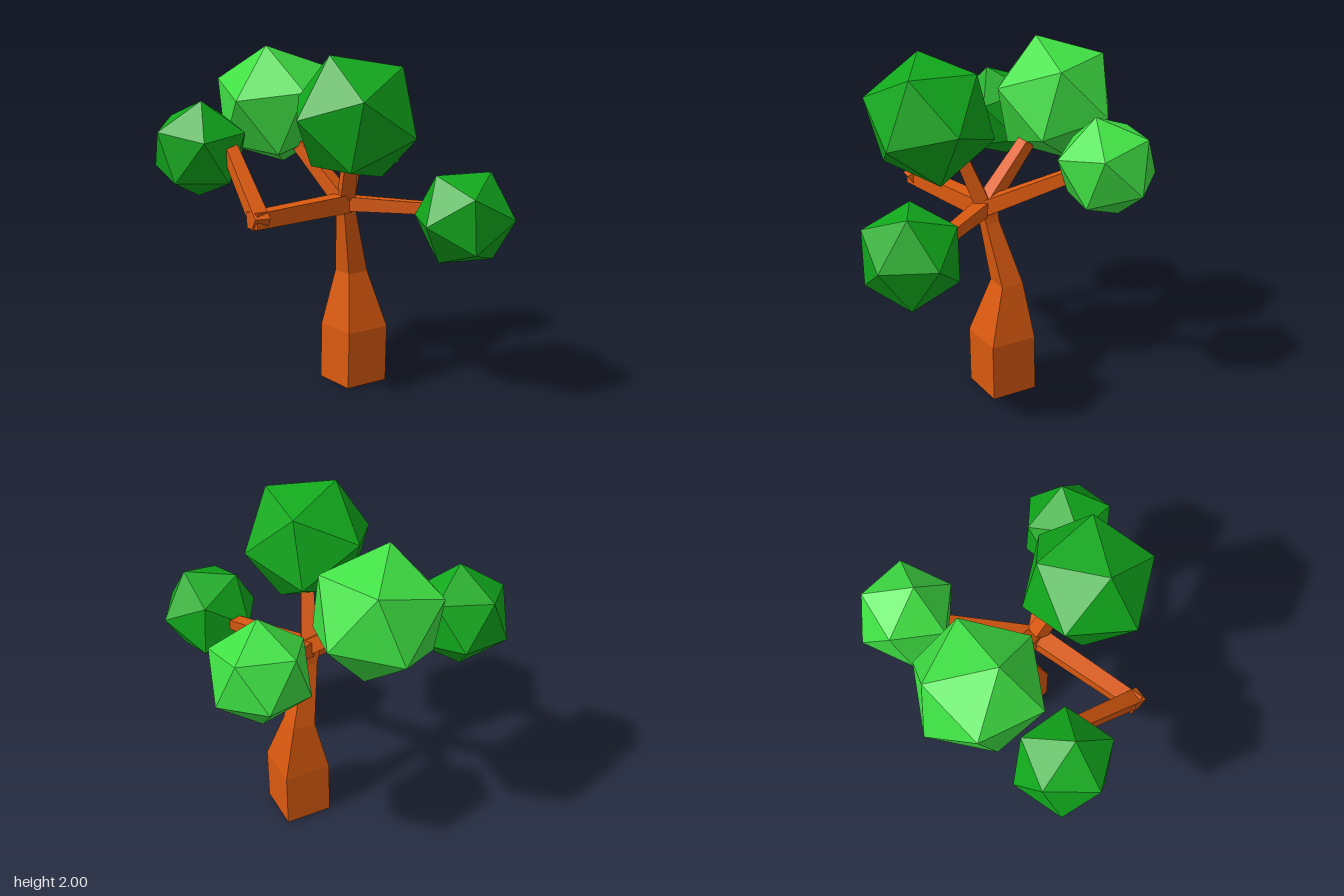
import * as THREE from 'three';

const V = (x, y, z) => new THREE.Vector3(x, y, z);
const flat = (color) => new THREE.MeshStandardMaterial({ color, flatShading: true });

// Skin four-cornered rings into a closed solid.
function loft(rings) {
  const pos = [];
  const quad = (a, b, c, d) => [a, b, c, a, c, d].forEach((p) => pos.push(p.x, p.y, p.z));
  for (let i = 0; i < rings.length - 1; i++) {
    for (let j = 0; j < 4; j++) {
      const k = (j + 1) % 4;
      quad(rings[i][j], rings[i][k], rings[i + 1][k], rings[i + 1][j]);
    }
  }
  const [a, b, c, d] = rings[0];
  quad(d, c, b, a);
  quad(...rings[rings.length - 1]);
  const geo = new THREE.BufferGeometry();
  geo.setAttribute('position', new THREE.Float32BufferAttribute(pos, 3));
  geo.computeVertexNormals();
  return geo;
}

// Square ring around a centre, spanned by two directions.
function ring(center, s, u, half) {
  return [[1, 1], [-1, 1], [-1, -1], [1, -1]].map(([i, j]) =>
    center.clone().addScaledVector(s, i * half).addScaledVector(u, j * half));
}

// Straight tapered limb between two points.
function limb(from, to, half0, half1) {
  const dir = to.clone().sub(from).normalize();
  const s = V(0, 1, 0).cross(dir).normalize();
  const u = dir.clone().cross(s);
  return loft([ring(from, s, u, half0), ring(to, s, u, half1)]);
}

export function createModel() {
  const tree = new THREE.Group();
  tree.name = 'tree';
  const bark = flat(0xdb5a10);
  const lightLeaf = flat(0x3fe043);
  const darkLeaf = flat(0x11a81c);

  const add = (name, geo, mat) => {
    const mesh = new THREE.Mesh(geo, mat);
    mesh.name = name;
    tree.add(mesh);
    return mesh;
  };

  // Trunk: square sections narrowing and leaning towards the fork
  const sections = [
    [-0.06, 0, -0.2, 0.14],
    [-0.05, 0.34, -0.2, 0.14],
    [-0.08, 0.67, -0.2, 0.068],
    [-0.012, 1.03, -0.112, 0.043],
    [0.005, 1.15, -0.085, 0.05],
  ];
  add('trunk', loft(sections.map(([x, y, z, h]) =>
    ring(V(x, y, z), V(0, 0, 1), V(1, 0, 0), h))), bark);

  // Branches spreading from the fork; the front one has an elbow
  const fork = V(0.01, 1.11, -0.09);
  const branches = [
    ['frontBranch', fork, V(0.115, 1.105, 0.61), 0.052, 0.045],
    ['frontBranchTip', V(0.15, 1.085, 0.575), V(-0.31, 1.455, 0.5), 0.045, 0.037],
    ['upperRightBranch', fork, V(-0.32, 1.42, 0), 0.045, 0.036],
    ['backRightBranch', fork, V(-0.37, 1.37, -0.46), 0.045, 0.034],
    ['upperLeftBranch', fork, V(0.13, 1.42, -0.04), 0.045, 0.036],
    ['leftBranch', fork, V(0.46, 1.11, -0.41), 0.042, 0.032],
  ];
  for (const [name, from, to, h0, h1] of branches) add(name, limb(from, to, h0, h1), bark);

  // Foliage: icosahedra turned so that two neighbouring corners point along a and b
  const foliage = [
    ['upperRightFoliage', lightLeaf, V(-0.533, 1.64, 0.04), 0.38, V(0.368, 0.1, 0.03), V(0.073, 0.36, 0.105)],
    ['upperLeftFoliage', darkLeaf, V(0.283, 1.64, 0.04), 0.38, V(-0.018, -0.005, 0.38), V(-0.018, 0.34, 0.155)],
    ['frontFoliage', darkLeaf, V(-0.47, 1.425, 0.594), 0.29, V(-0.003, 0.115, 0.267), V(0.064, 0.285, 0.02)],
    ['leftFoliage', darkLeaf, V(0.644, 1.085, -0.442), 0.293, V(0.016, -0.02, 0.29), V(-0.074, -0.255, 0.122)],
    ['backRightFoliage', lightLeaf, V(-0.469, 1.43, -0.593), 0.29, V(0.048, 0.104, 0.268), V(0.07, 0.28, 0.029)],
  ];
  for (const [name, mat, center, radius, a, b] of foliage) {
    a.normalize();
    b.normalize();
    const x = b.clone().sub(a).normalize();
    const y = a.clone().add(b).normalize();
    const mesh = add(name, new THREE.IcosahedronGeometry(radius, 0), mat);
    mesh.quaternion.setFromRotationMatrix(new THREE.Matrix4().makeBasis(x, y, x.clone().cross(y)));
    mesh.position.copy(center);
  }
  return tree;
}
